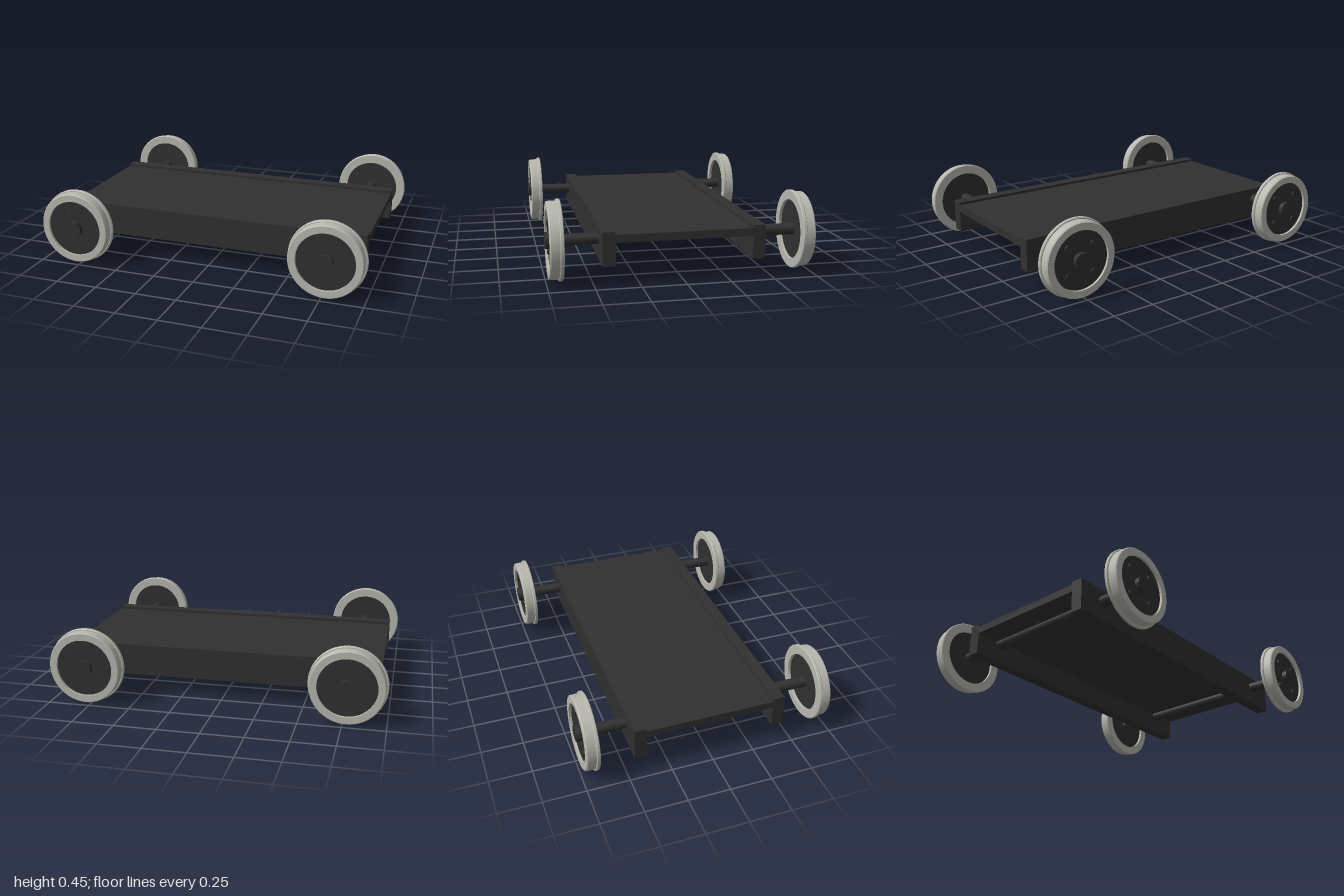
import * as THREE from 'three';
import { toCreasedNormals } from 'three/addons/utils/BufferGeometryUtils.js';

const AXLE_X = 0.773, AXLE_Y = 0.2275;

export function createModel() {
  const model = new THREE.Group();
  model.name = 'railTrolley';
  const darkIron = new THREE.MeshStandardMaterial({ color: 0x303030 });
  const paleSteel = new THREE.MeshStandardMaterial({ color: 0xb8b8b0 });

  const add = (parent, name, geometry, material, x = 0, y = 0, z = 0) => {
    const mesh = new THREE.Mesh(geometry, material);
    mesh.name = name;
    mesh.position.set(x, y, z);
    parent.add(mesh);
    return mesh;
  };
  // Cylinder lying along z between two depths
  const rod = (radius, z0, z1, sides) =>
    new THREE.CylinderGeometry(radius, radius, z1 - z0, sides)
      .rotateX(Math.PI / 2).translate(0, 0, (z0 + z1) / 2);

  // Deck plate between two side beams
  add(model, 'deck', new THREE.BoxGeometry(1.9, 0.044, 0.77), darkIron, 0, 0.262, 0);
  for (const side of [1, -1]) {
    add(model, side > 0 ? 'frontBeam' : 'backBeam',
      new THREE.BoxGeometry(1.9, 0.19, 0.071), darkIron, 0, 0.205, side * 0.4195);
  }

  // Closed tyre section: flange on the inner side, tread outside
  const section = [
    [0.171, 0.66], [0.222, 0.66], [0.227, 0.664], [0.227, 0.678], [0.222, 0.682],
    [0.217, 0.682], [0.216, 0.73], [0.211, 0.736], [0.171, 0.736], [0.171, 0.66],
  ].map(([r, z]) => new THREE.Vector2(r, z));
  const tyre = toCreasedNormals(
    new THREE.LatheGeometry(section, 56).rotateX(Math.PI / 2), 0.5);
  const disc = rod(0.172, 0.677, 0.721, 56);
  const hub = rod(0.046, 0.7, 0.748, 32);
  const bolt = rod(0.018, 0.71, 0.73, 16);

  function makeWheel() {
    const wheel = new THREE.Group();
    add(wheel, 'tyre', tyre, paleSteel);
    add(wheel, 'wheelDisc', disc, darkIron);
    add(wheel, 'hub', hub, darkIron);
    for (let i = 0; i < 4; i++) {
      const a = Math.PI / 4 + i * Math.PI / 2;
      add(wheel, 'bolt', bolt, darkIron, 0.115 * Math.cos(a), 0.115 * Math.sin(a));
    }
    return wheel;
  }

  // Two axles, each with a wheel at both ends
  for (const x of [AXLE_X, -AXLE_X]) {
    const wheelset = new THREE.Group();
    wheelset.name = x > 0 ? 'leftWheelset' : 'rightWheelset';
    wheelset.position.set(x, AXLE_Y, 0);
    add(wheelset, 'axle', rod(0.033, -0.69, 0.69, 32), darkIron);
    for (const back of [false, true]) {
      const wheel = makeWheel();
      wheel.name = back ? 'backWheel' : 'frontWheel';
      wheel.rotation.y = back ? Math.PI : 0;
      wheelset.add(wheel);
    }
    model.add(wheelset);
  }
  return model;
}
